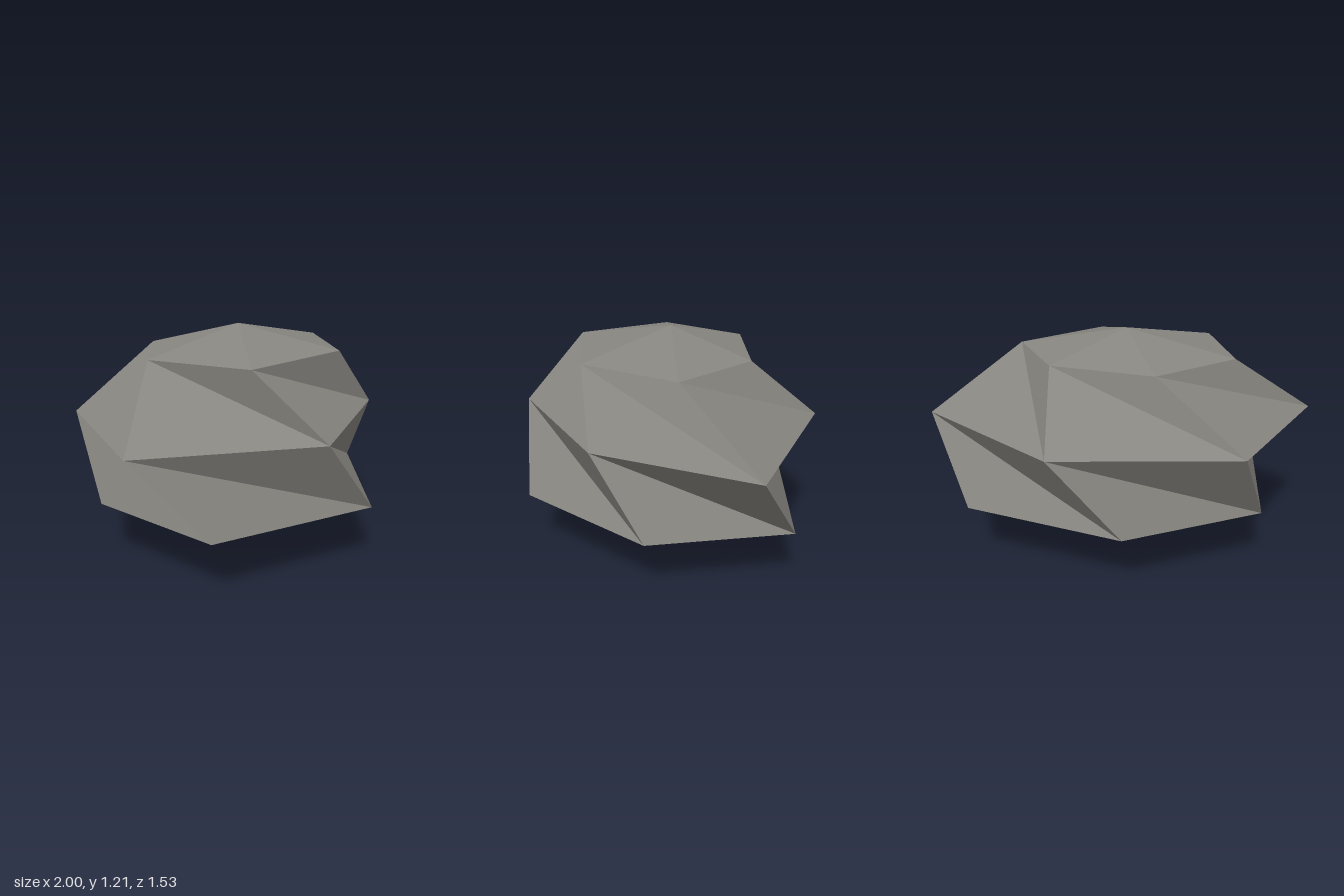
import * as THREE from 'three';

// Faceted boulder: three uneven six-sided rings between two poles.
export function createModel() {
  const stone = new THREE.MeshStandardMaterial({ color: 0x888680 });
  stone.name = 'warm grey stone';
  stone.flatShading = true;

  // Rings of [x, z] corners, running counterclockwise seen from above
  const rings = [
    { y: 1.09, pts: [[-0.59, -0.11], [-0.43, 0.41], [0.21, 0.46], [0.57, 0.04], [0.30, -0.38], [-0.23, -0.47]] },
    { y: 0.76, pts: [[-1, 0.18], [-0.27, 0.74], [0.54, 0.46], [1, -0.25], [0.23, -0.77], [-0.67, -0.61]] },
    { y: 0.34, pts: [[-0.73, 0.43], [0.10, 0.765], [0.71, 0.23], [0.73, -0.51], [-0.11, -0.70], [-0.77, -0.31]] },
  ];
  const corners = rings.map(({ y, pts }) => pts.map(([x, z]) => [x, y, z]));
  const top = [-0.02, 1.21, -0.03];
  const bottom = [-0.02, 0, -0.03];

  const positions = [];
  const face = (a, b, c) => positions.push(...a, ...b, ...c);
  const sides = 6;
  for (let i = 0; i < sides; i++) {
    const j = (i + 1) % sides;
    // Crown and underside fans
    face(top, corners[0][i], corners[0][j]);
    face(bottom, corners[2][j], corners[2][i]);
    // Twisted side bands
    for (let r = 0; r < 2; r++) {
      const upper = corners[r], lower = corners[r + 1];
      face(upper[i], lower[i], lower[j]);
      face(upper[i], lower[j], upper[j]);
    }
  }

  const geometry = new THREE.BufferGeometry();
  geometry.setAttribute('position', new THREE.Float32BufferAttribute(positions, 3));
  geometry.computeVertexNormals();

  const boulder = new THREE.Mesh(geometry, stone);
  boulder.name = 'boulder';
  const group = new THREE.Group();
  group.name = 'rock';
  group.add(boulder);
  return group;
}
